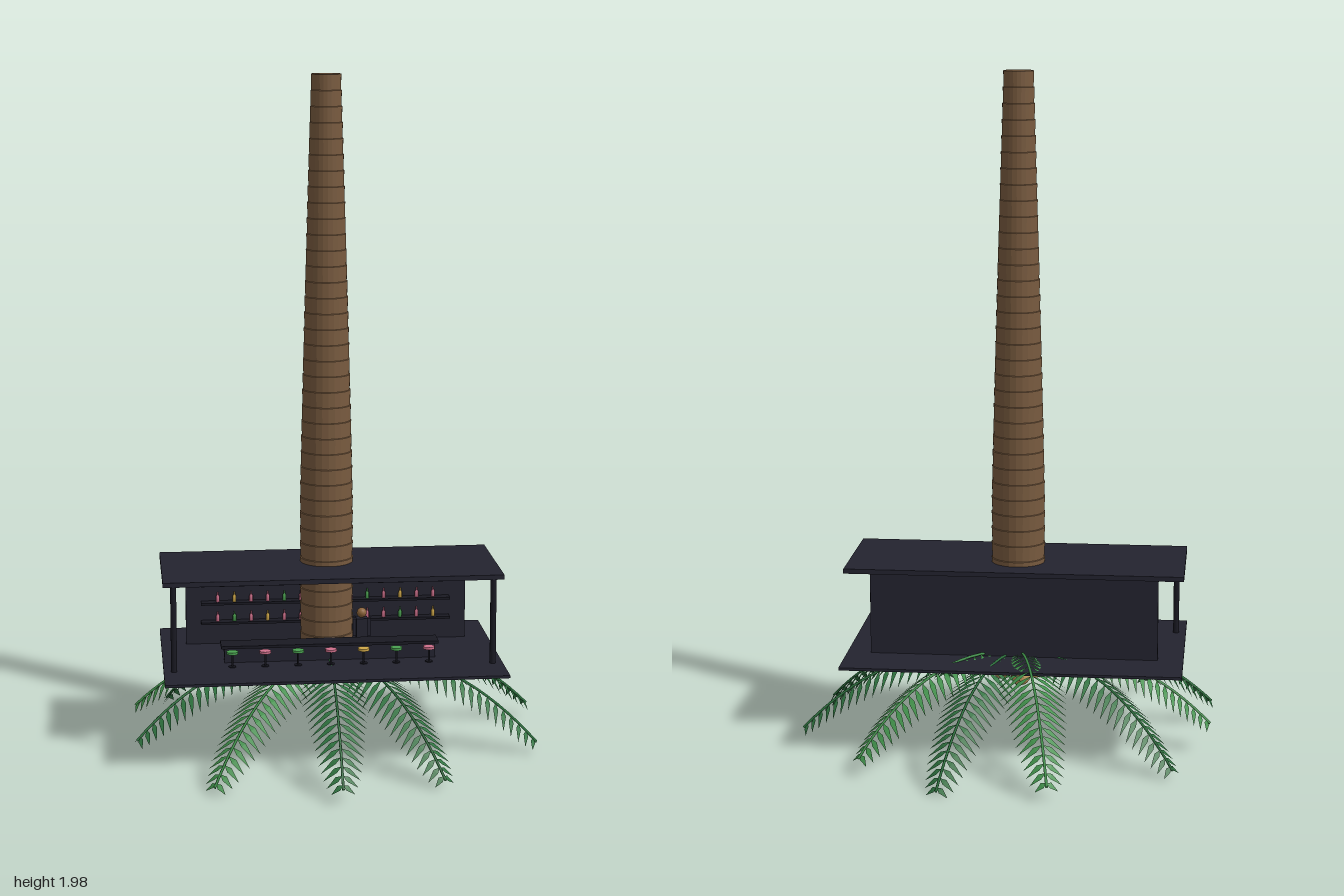
import * as THREE from 'three';

const mat = (name, color, side = THREE.FrontSide) => {
  const m = new THREE.MeshStandardMaterial({ color, side });
  m.name = name;
  return m;
};

export function createModel() {
  const M = {
    bark: mat('bark brown', 0x7a5c40),
    slate: mat('dark slate', 0x23232f),
    post: mat('near black', 0x191922),
    light: mat('leaf green', 0x40904a, THREE.DoubleSide),
    dark: mat('deep leaf green', 0x2f7440, THREE.DoubleSide),
    nut: mat('coconut tan', 0xc9a262),
    pink: mat('pink', 0xd0708c),
    green: mat('bottle green', 0x4aa050),
    amber: mat('amber', 0xd0a848),
    skin: mat('warm tan', 0x8a6238),
  };
  const root = new THREE.Group();
  const CX = -0.028, CZ = -0.028;

  const add = (name, geo, material, x = 0, y = 0, z = 0, parent = root) => {
    const mesh = new THREE.Mesh(geo, material);
    mesh.name = name;
    mesh.position.set(x, y, z);
    parent.add(mesh);
    return mesh;
  };
  // Box given by its limits on each axis
  const box = (name, material, x0, x1, y0, y1, z0, z1, parent = root) =>
    add(name, new THREE.BoxGeometry(x1 - x0, y1 - y0, z1 - z0), material,
      (x0 + x1) / 2, (y0 + y1) / 2, (z0 + z1) / 2, parent);
  const group = (name) => {
    const g = new THREE.Group();
    g.name = name;
    root.add(g);
    return g;
  };

  // Trunk: tapering lathe with shallow growth rings
  const radius = (y) => {
    const t = Math.max(0, (y - 0.75) / 1.25);
    return 0.078 - 0.035 * Math.pow(t, 1.15);
  };
  const profile = [new THREE.Vector2(0, 0.26)];
  const rings = 38, step = (2 - 0.26) / rings;
  for (let i = 0; i < rings; i++) {
    const y = 0.26 + i * step;
    profile.push(new THREE.Vector2(radius(y) - 0.0015, y));
    profile.push(new THREE.Vector2(radius(y + step) + 0.001, y + step * 0.97));
  }
  profile.push(new THREE.Vector2(0.0425, 2), new THREE.Vector2(0, 2));
  const trunkGeo = new THREE.LatheGeometry(profile, 24).toNonIndexed();
  trunkGeo.computeVertexNormals();
  add('trunk', trunkGeo, M.bark, CX, 0, CZ);

  // Bar building: floor, roof, back wall and front posts
  box('floor', M.slate, -0.52, 0.47, 0.291, 0.299, -0.28, 0.315);
  box('roof', M.slate, -0.52, 0.47, 0.552, 0.566, -0.175, 0.195);
  box('backWall', M.slate, -0.445, 0.4, 0.299, 0.552, -0.12, -0.098);
  for (const x of [-0.49, 0.44])
    add('frontPost', new THREE.CylinderGeometry(0.009, 0.009, 0.253, 10), M.post, x, 0.4255, 0.183);

  // Shelves with rows of bottles
  const shelves = group('bottleShelves');
  const bottleGeo = new THREE.LatheGeometry([[0, 0], [0.0055, 0], [0.0055, 0.017], [0.0022, 0.023],
    [0.0022, 0.03], [0, 0.03]].map(([x, y]) => new THREE.Vector2(x, y)), 8);
  const bottleColours = [M.pink, M.green, M.pink, M.amber, M.pink];
  [0.365, 0.425, 0.482].forEach((y, row) => {
    box('shelf', M.post, -0.4, 0.35, y, y + 0.007, -0.098, -0.068, shelves);
    for (let i = 0; i < 14; i++)
      add('bottle', bottleGeo, bottleColours[(i + row * 2) % 5], -0.35 + i * 0.05, y + 0.007, -0.083, shelves);
  });

  // Counter and stools
  box('counter', M.slate, -0.34, 0.28, 0.299, 0.342, 0.055, 0.108);
  box('counterTop', M.post, -0.35, 0.29, 0.342, 0.35, 0.05, 0.115);
  const seatColours = [M.green, M.pink, M.green, M.pink, M.amber, M.green, M.pink];
  seatColours.forEach((colour, i) => {
    const stool = group('stool');
    stool.position.set(-0.32 + i * 0.096, 0.299, 0.152);
    add('stoolPole', new THREE.CylinderGeometry(0.003, 0.003, 0.04, 8), M.post, 0, 0.02, 0, stool);
    add('stoolBase', new THREE.CylinderGeometry(0.011, 0.011, 0.003, 12), M.post, 0, 0.0015, 0, stool);
    add('stoolSeat', new THREE.CylinderGeometry(0.017, 0.017, 0.007, 14), colour, 0, 0.043, 0, stool);
  });

  // Bartender behind the counter
  const keeper = group('bartender');
  keeper.position.set(0.073, 0.299, 0.013);
  for (const s of [-1, 1]) {
    box('leg', M.post, s * 0.009 - 0.006, s * 0.009 + 0.006, 0, 0.04, -0.007, 0.007, keeper);
    box('arm', M.slate, s * 0.022 - 0.005, s * 0.022 + 0.005, 0.045, 0.098, -0.006, 0.008, keeper);
  }
  box('torso', M.slate, -0.017, 0.017, 0.036, 0.1, -0.016, 0.016, keeper);
  add('head', new THREE.SphereGeometry(0.015, 14, 10), M.skin, 0, 0.115, 0, keeper);

  // Coconut cluster under the floor
  const nuts = group('coconuts');
  for (let i = 0; i < 6; i++) {
    const a = i * Math.PI / 3 + 0.3;
    add('coconut', new THREE.SphereGeometry(0.029, 16, 12), M.nut,
      CX + Math.cos(a) * 0.058, 0.232 + (i % 2) * 0.012, CZ + Math.sin(a) * 0.058, nuts);
  }

  // Frond: arched stem with pairs of drooping pointed leaflets
  const UP = new THREE.Vector3(0, 1, 0);
  const makeFrond = (tx, ty, tz, crown, material) => {
    const start = new THREE.Vector3(CX, 0.285, CZ);
    const end = new THREE.Vector3(tx, ty, tz);
    const control = start.clone().lerp(end, 0.56).setY(crown);
    const curve = new THREE.QuadraticBezierCurve3(start, control, end);
    const frond = group('frond');
    add('stem', new THREE.TubeGeometry(curve, 18, 0.004, 5), material, 0, 0, 0, frond);
    const pos = [], pairs = 21;
    for (let i = 0; i < pairs; i++) {
      const u = 0.13 + 0.85 * i / (pairs - 1);
      const p = curve.getPointAt(u), f = curve.getTangentAt(u);
      const side = new THREE.Vector3().crossVectors(f, UP).normalize();
      const top = new THREE.Vector3().crossVectors(side, f);
      const len = 0.115 * Math.min(1, 0.55 + u * 1.3) * Math.pow(1 - u, 0.45) + 0.018;
      for (const s of [-1, 1]) {
        const dir = side.clone().multiplyScalar(s * 0.85)
          .addScaledVector(f, 0.4).addScaledVector(top, -0.22).normalize();
        const across = f.clone().addScaledVector(dir, -f.dot(dir)).normalize();
        const at = (d, w, drop) => p.clone().addScaledVector(dir, len * d)
          .addScaledVector(across, w).addScaledVector(UP, -len * drop);
        const w = 0.0085;
        const base = at(0, 0, 0), a = at(0.35, w, 0.03), b = at(0.35, -w, 0.03), tip = at(1, 0, 0.22);
        const tri = s > 0 ? [base, b, a, a, b, tip] : [base, a, b, b, a, tip];
        // Wind each leaflet so that its face looks upward
        const n = new THREE.Vector3().crossVectors(tri[1].clone().sub(tri[0]), tri[2].clone().sub(tri[0]));
        if (n.y < 0) for (const k of [0, 3]) [tri[k + 1], tri[k + 2]] = [tri[k + 2], tri[k + 1]];
        for (const v of tri) pos.push(v.x, v.y, v.z);
      }
    }
    const geo = new THREE.BufferGeometry();
    geo.setAttribute('position', new THREE.Float32BufferAttribute(pos, 3));
    geo.computeVertexNormals();
    add('leaflets', geo, material, 0, 0, 0, frond);
  };
  // Tip x, y, z, arch height, colour
  [
    [-0.16, 0.07, -0.59, 0.4, M.light],
    [0.15, 0.04, -0.575, 0.37, M.dark],
    [0.39, 0.08, -0.435, 0.375, M.light],
    [0.6, 0.07, -0.145, 0.36, M.dark],
    [0.57, 0.06, 0.205, 0.355, M.dark],
    [0.26, 0.05, 0.485, 0.345, M.dark],
    [-0.04, 0.07, 0.59, 0.355, M.dark],
    [-0.39, 0.05, 0.485, 0.345, M.light],
    [-0.6, 0.09, 0.17, 0.355, M.dark],
    [-0.6, 0.11, -0.11, 0.36, M.light],
    [-0.5, 0.05, -0.365, 0.36, M.dark],
  ].forEach((f) => makeFrond(...f));

  return root;
}
